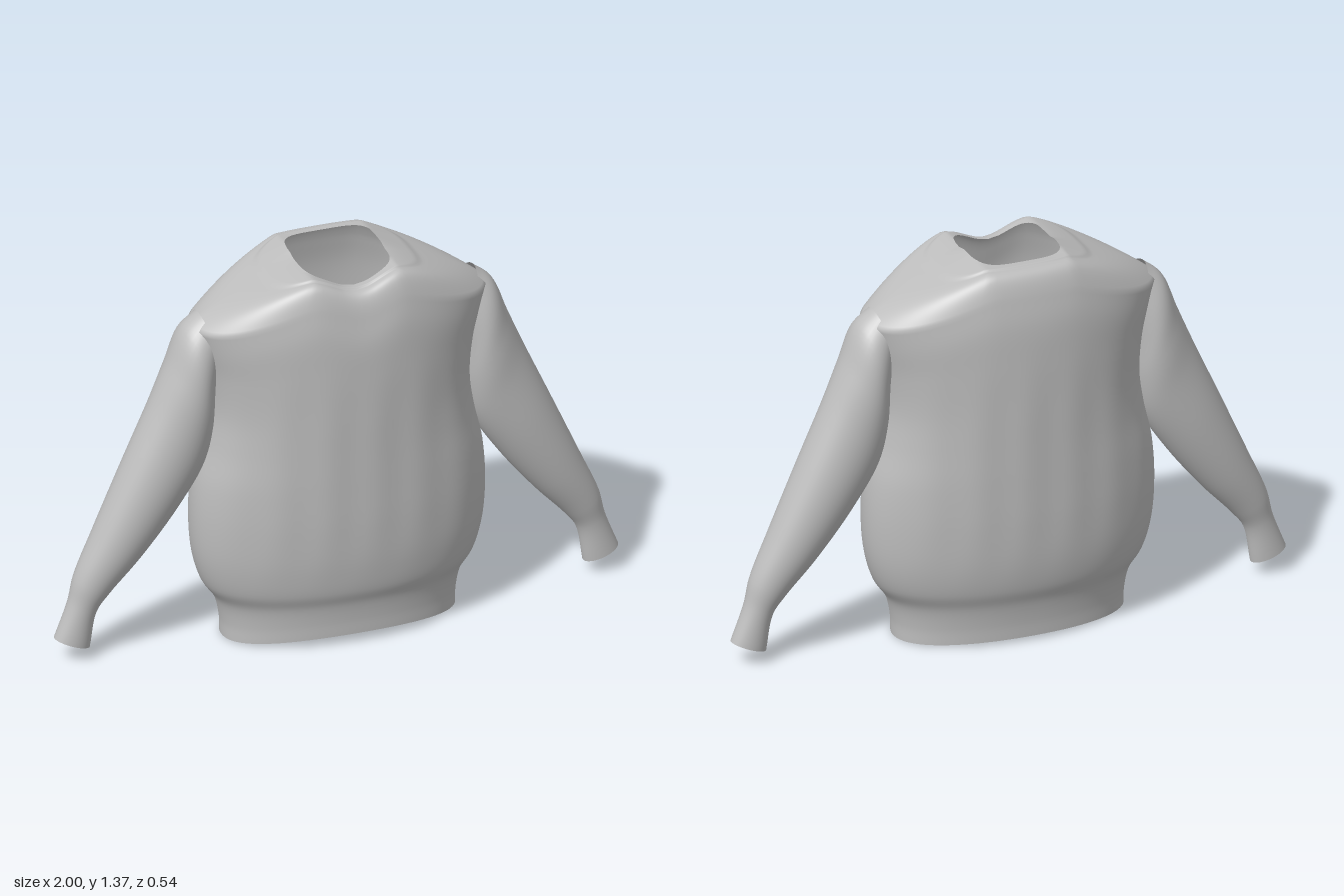
import * as THREE from 'three';

const { smoothstep, lerp } = THREE.MathUtils;

// Closed-ring loft: point(v, angle) with v running 0..1 along the rows
function loft(rows, cols, point) {
  const pos = [], idx = [];
  for (let i = 0; i <= rows; i++) {
    for (let j = 0; j < cols; j++) pos.push(...point(i / rows, (j / cols) * Math.PI * 2));
  }
  for (let i = 0; i < rows; i++) {
    for (let j = 0; j < cols; j++) {
      const a = i * cols + j, b = i * cols + ((j + 1) % cols);
      idx.push(a, a + cols, b, b, a + cols, b + cols);
    }
  }
  const g = new THREE.BufferGeometry();
  g.setAttribute('position', new THREE.Float32BufferAttribute(pos, 3));
  g.setIndex(idx);
  g.computeVertexNormals();
  return g;
}

const curve = (pts) => new THREE.CatmullRomCurve3(pts.map((p) => new THREE.Vector3(...p)));

// Point on a superellipse of half sizes a, b
function oval(a, b, p, angle) {
  const f = (c) => Math.sign(c) * Math.pow(Math.abs(c), 2 / p);
  return [a * f(Math.cos(angle)), b * f(Math.sin(angle))];
}

// Torso profile: half width, half depth, height
const body = curve([
  [0.41, 0.212, 0], [0.412, 0.215, 0.06], [0.43, 0.226, 0.14], [0.475, 0.247, 0.21],
  [0.505, 0.262, 0.31], [0.516, 0.269, 0.45], [0.506, 0.27, 0.6], [0.475, 0.27, 0.74],
  [0.46, 0.27, 0.86], [0.472, 0.268, 1.0], [0.497, 0.262, 1.11], [0.52, 0.245, 1.2],
]);

// Height of the yoke, from the shoulder rim (t = 0) to the neck edge (t = 1)
function yokeHeight(x, angle, t) {
  const s = Math.sin(angle);
  const slope = 1.378 - 0.42 * Math.max(0, Math.abs(x) - 0.15);
  const dip = s > 0 ? 0.06 * Math.exp(-((x / 0.11) ** 2)) : 0.006 * s * s;
  const roll = (0.03 + 0.055 * Math.abs(s)) * Math.pow(1 - t, 5);
  const band = 0.006 * (smoothstep(t, 0.66, 0.74) - 1);
  return slope - dip - roll + band;
}

function torsoPoint(v, angle) {
  const split = 0.66;
  if (v <= split) {
    const r = body.getPoint(v / split);
    const [x, z] = oval(r.x, r.y, 2.1, angle);
    const s = Math.sin(angle);
    // Curved hem below, shoulder line above, soft vertical folds between
    const hem = (0.004 + (s > 0 ? 0.034 : 0.014) * s * s) * (1 - smoothstep(r.z, 0, 0.25));
    const rise = smoothstep(r.z, 0.75, 1.2) * (yokeHeight(x, angle, 0) - 1.2);
    const fold = 1 + 0.008 * Math.sin(x * 38) * smoothstep(r.z, 0.2, 0.5) * (1 - smoothstep(r.z, 0.8, 1.1));
    return [x, r.z + hem + rise, z * fold + 0.005 * (1 - smoothstep(r.z, 0, 0.3))];
  }
  const t = (v - split) / (1 - split);
  const [x, z] = oval(lerp(0.52, 0.155, t), lerp(0.245, 0.156, t), lerp(2.1, 4.2, t * t), angle);
  return [x, yokeHeight(x, angle, t), z + 0.006 * t];
}

// Sleeve outline: outer edge with half depth, and inner edge
const outer = curve([
  [0.49, 1.222, 0.085], [0.55, 1.17, 0.112], [0.602, 1.045, 0.12], [0.66, 0.91, 0.114],
  [0.755, 0.7, 0.107], [0.86, 0.465, 0.088], [0.93, 0.305, 0.064], [0.952, 0.215, 0.05], [1, 0.09, 0.048],
]);
const inner = curve([
  [0.43, 1.06, 0], [0.442, 0.93, 0], [0.448, 0.8, 0], [0.478, 0.67, 0],
  [0.57, 0.52, 0], [0.7, 0.355, 0], [0.81, 0.235, 0], [0.853, 0.175, 0], [0.877, 0.045, 0],
]);

function sleeve(side) {
  return loft(48, 40, (v, angle) => {
    const o = outer.getPoint(v), n = inner.getPoint(v), k = (1 + Math.cos(angle)) / 2;
    return [side * lerp(n.x, o.x, k), lerp(n.y, o.y, k), -0.005 - side * o.z * Math.sin(angle)];
  });
}

export function createModel() {
  const group = new THREE.Group();
  group.name = 'sweater';
  const knit = new THREE.MeshStandardMaterial({ color: 0xbdbdbd, side: THREE.DoubleSide });
  knit.name = 'grey knit';

  const add = (name, geometry) => {
    const mesh = new THREE.Mesh(geometry, knit);
    mesh.name = name;
    group.add(mesh);
  };

  add('torso', loft(100, 120, torsoPoint));
  add('leftSleeve', sleeve(1));
  add('rightSleeve', sleeve(-1));
  return group;
}
